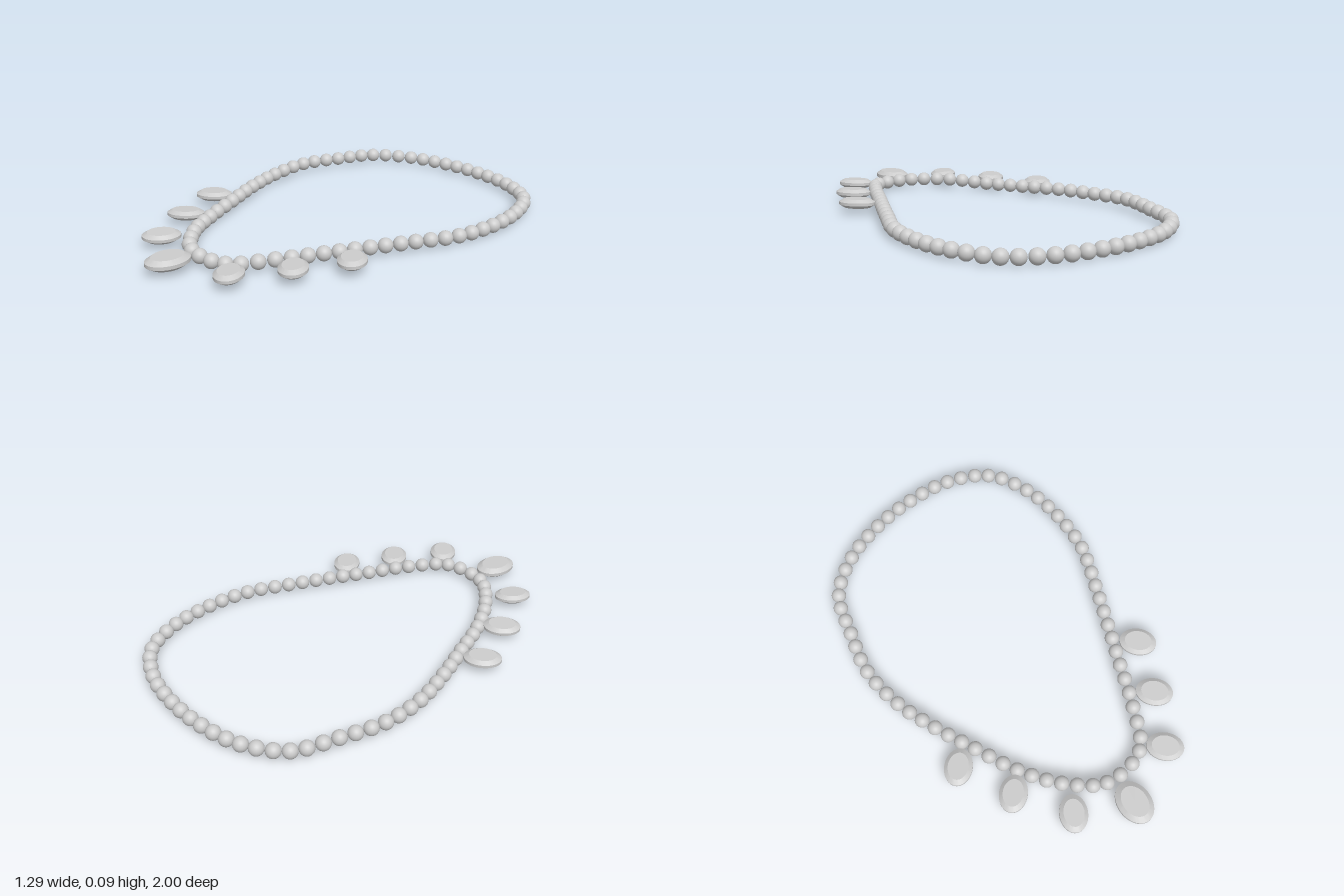
import * as THREE from 'three';
import { toCreasedNormals } from 'three/addons/utils/BufferGeometryUtils.js';

export function createModel() {
  const group = new THREE.Group();
  group.name = 'necklace';
  const material = new THREE.MeshStandardMaterial({ color: 0xcccccc });

  // Closed string path [x, y, z]; three beads per span
  const path = [
    [0.05, 0.043, -0.97], [0.262, 0.043, -0.952], [0.452, 0.043, -0.862], [0.561, 0.045, -0.68],
    [0.603, 0.045, -0.474], [0.595, 0.047, -0.262], [0.527, 0.05, -0.061], [0.452, 0.052, 0.138],
    [0.376, 0.052, 0.333], [0.299, 0.053, 0.532], [0.196, 0.048, 0.714], [-0.013, 0.048, 0.746],
    [-0.183, 0.05, 0.63], [-0.31, 0.042, 0.463], [-0.41, 0.047, 0.272], [-0.505, 0.052, 0.085],
    [-0.582, 0.053, -0.111], [-0.614, 0.058, -0.323], [-0.574, 0.054, -0.532], [-0.516, 0.048, -0.735],
    [-0.357, 0.044, -0.873], [-0.159, 0.043, -0.944],
  ];
  const curve = new THREE.CatmullRomCurve3(path.map(p => new THREE.Vector3(...p)), true);

  // Beads
  const beads = new THREE.Group();
  beads.name = 'beads';
  const beadGeometry = new THREE.SphereGeometry(0.0345, 24, 16);
  const count = path.length * 3;
  for (let i = 0; i < count; i++) {
    const bead = new THREE.Mesh(beadGeometry, material);
    bead.name = 'bead';
    bead.position.copy(curve.getPoint(i / count));
    beads.add(bead);
  }
  group.add(beads);

  // Pendant: bevelled oval disc, long axis along z
  const profile = [[0, -0.025], [0.056, -0.025], [0.077, -0.008], [0.077, 0.008], [0.056, 0.025], [0, 0.025]];
  const lathe = new THREE.LatheGeometry(profile.map(p => new THREE.Vector2(...p)), 48);
  lathe.scale(1, 1, 1.34);
  const pendantGeometry = toCreasedNormals(lathe, 0.45);

  // [x, z, turn in degrees, scale, sideways tilt]
  const pendants = [
    [0.03, 0.89, 0, 1, 0],
    [-0.522, 0.302, -45, 0.84, 0.03], [-0.389, 0.545, -45, 0.84, 0.06], [-0.222, 0.773, -28, 0.84, -0.05],
    [0.513, 0.291, 45, 0.84, 0.03], [0.423, 0.532, 45, 0.84, 0.03], [0.302, 0.767, 45, 0.84, 0.04],
  ];
  for (const [x, z, turn, scale, tilt] of pendants) {
    const pendant = new THREE.Mesh(pendantGeometry, material);
    pendant.name = scale === 1 ? 'centrePendant' : 'sidePendant';
    pendant.position.set(x, 0.056, z);
    pendant.rotation.set(0, THREE.MathUtils.degToRad(turn), tilt);
    pendant.scale.setScalar(scale);
    group.add(pendant);
  }

  // Rest the lowest bead on the ground
  const box = new THREE.Box3().setFromObject(group);
  for (const child of group.children) child.position.y -= box.min.y;
  return group;
}
